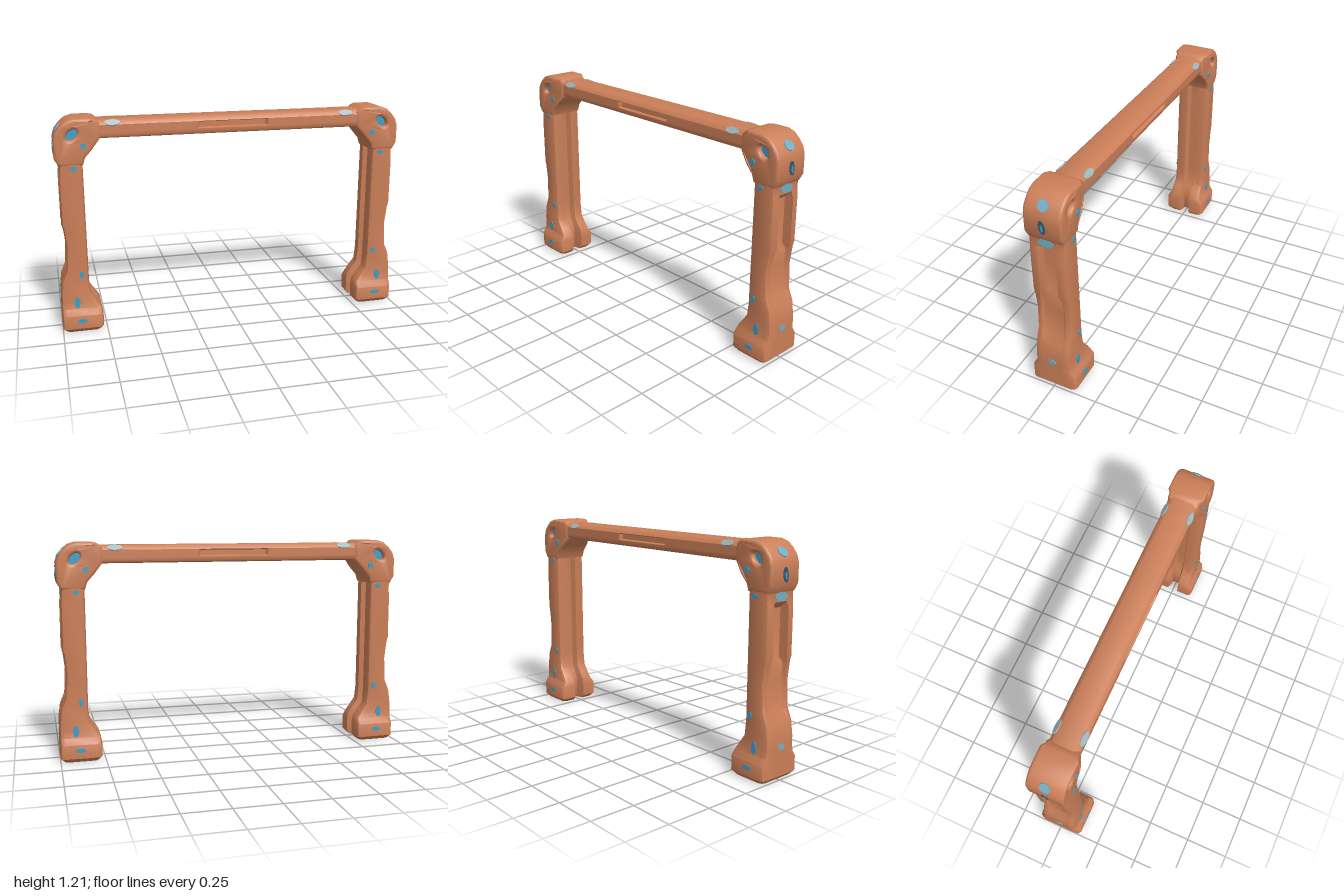
import * as THREE from 'three';
import { toCreasedNormals } from 'three/addons/utils/BufferGeometryUtils.js';

const mat = (name, color) => {
  const m = new THREE.MeshStandardMaterial({ color });
  m.name = name;
  return m;
};
const clay = mat('clay', 0xcb7f58);
const blue = mat('blue', 0x3c9fca);
const softBlue = mat('softBlue', 0x70aec6);
const paleGrey = mat('paleGreyBlue', 0x9fb6ba);
const darkBlue = mat('darkBlue', 0x36586a);

function add(parent, name, geometry, material) {
  const mesh = new THREE.Mesh(geometry, material);
  mesh.name = name;
  parent.add(mesh);
  return mesh;
}

// Skin closed rings of equal length and cap both ends
function loft(rings) {
  const n = rings[0].length, pos = [], idx = [];
  rings.forEach(r => r.forEach(p => pos.push(...p)));
  for (let i = 0; i < rings.length - 1; i++) {
    for (let j = 0; j < n; j++) {
      const a = i * n + j, b = i * n + (j + 1) % n;
      idx.push(a, b, a + n, b, b + n, a + n);
    }
  }
  [0, rings.length - 1].forEach((row, end) => {
    const centre = pos.length / 3;
    for (let k = 0; k < 3; k++) pos.push(rings[row].reduce((s, p) => s + p[k], 0) / n);
    for (let j = 0; j < n; j++) {
      const a = row * n + j, b = row * n + (j + 1) % n;
      idx.push(centre, end ? a : b, end ? b : a);
    }
  });
  const g = new THREE.BufferGeometry();
  g.setAttribute('position', new THREE.Float32BufferAttribute(pos, 3));
  g.setIndex(idx);
  return toCreasedNormals(g, 0.6);
}

// Thin oval plate lying on a surface with the given normal
function dot(parent, name, material, at, normal, w, h, tilt = 0) {
  const g = new THREE.CylinderGeometry(0.5, 0.5, 0.006, 10);
  g.rotateX(Math.PI / 2).scale(w, h, 1).rotateZ(tilt);
  const m = add(parent, name, g, material);
  m.position.set(...at);
  m.quaternion.setFromUnitVectors(new THREE.Vector3(0, 0, 1), new THREE.Vector3(...normal).normalize());
}

// Leg cross-section with an inner groove and an outer recess
function legRing([y, xi, xo, hz, gi, go, wo]) {
  const r = 0.024, k = r * 0.3;
  const half = [
    [xi + gi, 0], [xi + gi, 0.022], [xi, 0.034], [xi, hz - r], [xi + k, hz - k], [xi + r, hz],
    [xo - r, hz], [xo - k, hz - k], [xo, hz - r], [xo, wo + 0.012], [xo - go, wo], [xo - go, 0],
  ];
  const back = half.slice(1, -1).reverse().map(([x, z]) => [x, -z]);
  return [...half, ...back].map(([x, z]) => [x, y, z]);
}

function makeLeg() {
  const leg = new THREE.Group();

  // Post and foot: y, inner x, outer x, half depth, groove depth, recess depth, recess half width
  add(leg, 'postAndFoot', loft([
    [0, 0.79, 0.98, 0.112, 0.055, 0, 0.04],
    [0.022, 0.771, 1, 0.13, 0.06, 0, 0.04],
    [0.1, 0.77, 1, 0.13, 0.06, 0, 0.04],
    [0.135, 0.775, 1, 0.107, 0.055, 0, 0.04],
    [0.18, 0.805, 1, 0.104, 0.045, 0, 0.04],
    [0.22, 0.833, 0.999, 0.103, 0.035, 0, 0.05],
    [0.3, 0.84, 0.988, 0.102, 0.035, 0, 0.055],
    [0.36, 0.84, 0.962, 0.102, 0.035, 0.008, 0.058],
    [0.5, 0.84, 0.954, 0.102, 0.035, 0.015, 0.058],
    [0.6, 0.84, 0.965, 0.102, 0.035, 0.02, 0.05],
    [0.63, 0.84, 0.973, 0.102, 0.035, 0.042, 0.04],
    [0.88, 0.84, 0.972, 0.102, 0.035, 0.042, 0.04],
    [0.915, 0.84, 0.968, 0.102, 0.035, 0, 0.04],
    [0.965, 0.84, 0.968, 0.102, 0.03, 0, 0.04],
    [1.02, 0.845, 0.985, 0.1, 0.02, 0, 0.04],
  ].map(legRing)), clay);

  // Corner block with a tilted oval hole, narrowing towards the beam
  const corner = new THREE.Shape([
    [0.99, 1.0], [0.99, 1.1], [0.978, 1.14], [0.95, 1.175], [0.92, 1.2], [0.88, 1.213], [0.79, 1.213],
    [0.765, 1.208], [0.74, 1.185], [0.74, 1.1], [0.785, 1.045], [0.825, 1.0], [0.838, 0.96], [0.967, 0.96],
  ].map(p => new THREE.Vector2(...p)));
  const hole = new THREE.Path();
  hole.absellipse(0.89, 1.127, 0.037, 0.023, 0, Math.PI * 2, true, -0.75);
  corner.holes.push(hole);
  const bevel = 0.016;
  const block = new THREE.ExtrudeGeometry(corner, {
    depth: 0.21 - 2 * bevel, curveSegments: 8, bevelThickness: bevel, bevelSize: bevel, bevelOffset: -bevel, bevelSegments: 3,
  });
  block.translate(0, 0, bevel - 0.105);
  const p = block.attributes.position;
  for (let i = 0; i < p.count; i++) {
    if (p.getX(i) < 0.775) p.setZ(i, p.getZ(i) * 0.86);
  }
  add(leg, 'cornerBlock', toCreasedNormals(block, 0.65), clay);

  // Blue core sunk in the hole
  const core = new THREE.CylinderGeometry(0.5, 0.5, 0.15, 16);
  core.rotateX(Math.PI / 2).scale(0.1, 0.07, 1).rotateZ(-0.75).translate(0.89, 1.127, 0);
  add(leg, 'holeCore', core, blue);

  // Spots on the front and back: x, y, z, width, height, tilt
  for (const s of [1, -1]) {
    for (const [x, y, z, w, h, t] of [
      [0.832, 1.066, 0.105, 0.03, 0.035, 0.5],
      [0.888, 0.945, 0.103, 0.036, 0.026, 0],
      [0.878, 0.335, 0.103, 0.026, 0.04, 0],
      [0.912, 0.172, 0.105, 0.032, 0.066, 0],
      [0.89, 0.068, 0.13, 0.055, 0.026, 0],
    ]) dot(leg, 'faceSpot', blue, [x, y, z * s], [0, 0, s], w, h, s * t);
  }

  // Spots and slot on the outer side
  dot(leg, 'upperSideSpot', softBlue, [0.965, 1.158, 0], [0.78, 0.62, 0], 0.064, 0.056);
  dot(leg, 'sideSlotRim', darkBlue, [0.99, 1.05, 0], [1, 0, 0], 0.036, 0.078, 0.15);
  dot(leg, 'sideSlotCore', blue, [0.992, 1.045, 0], [1, 0, 0], 0.014, 0.04, 0.15);
  dot(leg, 'middleSideSpot', softBlue, [0.968, 0.942, 0], [1, 0, 0], 0.09, 0.046);
  dot(leg, 'lowerSideSpot', softBlue, [1, 0.18, 0], [1, 0, 0], 0.048, 0.034);
  return leg;
}

// Beam cross-section at x; d is the depth of the slot in both faces
function beamRing([x, d]) {
  const half = [
    [1.197, 0.055], [1.188, 0.07], [1.172, 0.083], [1.166, 0.083 - d], [1.137, 0.083 - d],
    [1.131, 0.083], [1.115, 0.083], [1.104, 0.077], [1.098, 0.062],
  ];
  return [...half, ...half.map(([y, z]) => [y, -z]).reverse()].map(([y, z]) => [x, y, z]);
}

export function createModel() {
  const model = new THREE.Group();
  model.name = 'gateFrame';

  // Crossbeam with a long slot on each face
  add(model, 'crossbeam', loft([
    [-0.8, 0], [-0.205, 0], [-0.19, 0.018], [0.19, 0.018], [0.205, 0], [0.8, 0],
  ].map(beamRing)), clay);

  // Worn patches on the upper edges of the beam
  for (const x of [-0.67, 0.67]) {
    for (const s of [1, -1]) dot(model, 'beamPatch', paleGrey, [x, 1.183, 0.075 * s], [0, 0.68, 0.74 * s], 0.088, 0.038);
  }

  // Legs
  const left = makeLeg();
  left.name = 'leftLeg';
  const right = makeLeg();
  right.name = 'rightLeg';
  right.rotation.y = Math.PI;
  model.add(left, right);
  return model;
}
